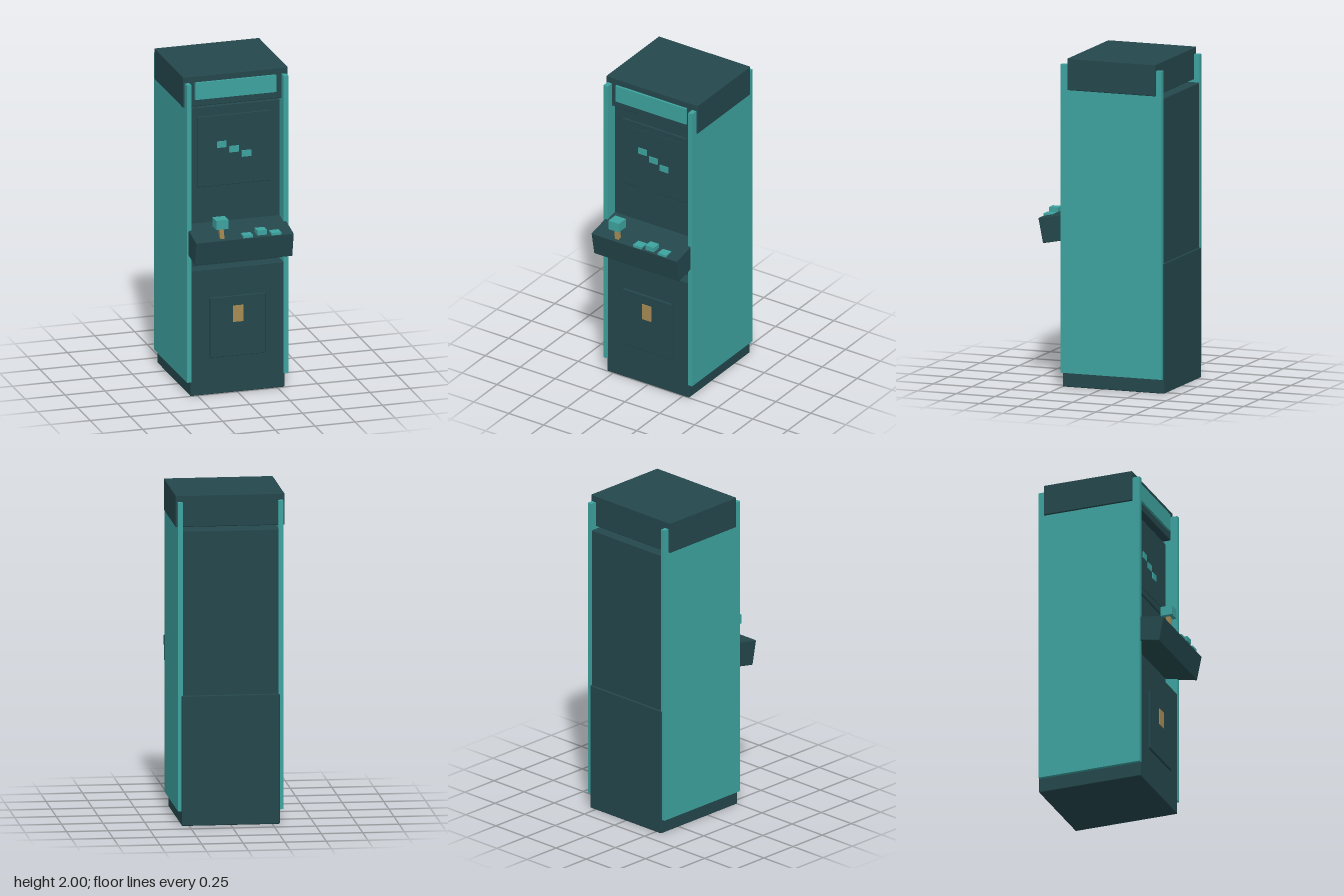
import * as THREE from 'three';
import { RoundedBoxGeometry } from 'three/addons/geometries/RoundedBoxGeometry.js';

export function createModel() {
  const model = new THREE.Group();
  model.name = 'arcadeCabinet';

  const mat = (name, color) => {
    const m = new THREE.MeshStandardMaterial({ color });
    m.name = name;
    return m;
  };
  const dark = mat('dark slate', 0x24474c);
  const teal = mat('teal', 0x3da39f);
  const gold = mat('brass', 0xa88b53);

  // Box given by its [min, max] extents; a bevel softens the edges.
  function box(name, material, [x0, x1], [y0, y1], [z0, z1], bevel = 0) {
    const size = [x1 - x0, y1 - y0, z1 - z0];
    const geometry = bevel
      ? new RoundedBoxGeometry(...size, 1, bevel)
      : new THREE.BoxGeometry(...size);
    const mesh = new THREE.Mesh(geometry, material);
    mesh.name = name;
    mesh.position.set((x0 + x1) / 2, (y0 + y1) / 2, (z0 + z1) / 2);
    model.add(mesh);
    return mesh;
  }

  // Cabinet body: base, recessed upper section and overhanging header
  box('lowerBody', dark, [-0.295, 0.295], [0, 0.79], [-0.405, 0.25], 0.006);
  box('upperBody', dark, [-0.292, 0.292], [0.78, 1.79], [-0.395, 0.175], 0.006);
  box('header', dark, [-0.328, 0.328], [1.807, 2], [-0.362, 0.207], 0.005);
  box('marquee', teal, [-0.254, 0.252], [1.853, 1.96], [0.2, 0.221]);

  // Side panels
  for (const s of [-1, 1]) {
    const xs = [s * 0.288, s * 0.317].sort((a, b) => a - b);
    box(s > 0 ? 'leftPanel' : 'rightPanel', teal, xs, [0.088, 1.96], [-0.398, 0.252]);
  }

  // Screen with its bezel and three small blocks on it
  box('bezel', dark, [-0.23, 0.23], [1.287, 1.73], [0.165, 0.184], 0.004);
  box('screen', dark, [-0.193, 0.193], [1.33, 1.69], [0.178, 0.187]);
  [[-0.079, 1.547], [-0.002, 1.511], [0.075, 1.476]].forEach(([x, y], i) =>
    box('screenBlock' + (i + 1), teal, [x - 0.03, x + 0.03], [y - 0.02, y + 0.02], [0.183, 0.192]));

  // Sloping control deck
  const deck = box('controlDeck', dark, [-0.306, 0.306], [0.8905, 1.0455], [0.09, 0.39], 0.005);
  deck.rotation.x = 0.195;

  // Joystick
  const stick = box('joystickStem', gold, [-0.152, -0.126], [1.005, 1.1], [0.357, 0.383]);
  stick.rotation.z = 0.1;
  box('joystickKnob', teal, [-0.181, -0.106], [1.086, 1.144], [0.33, 0.405]);

  // Buttons
  [[0.021, 1.0], [0.109, 1.024], [0.197, 1.0]].forEach(([x, y], i) =>
    box('button' + (i + 1), teal, [x - 0.03, x + 0.03], [y, y + 0.03], [0.34, 0.399]));

  // Coin door and slot
  box('coinDoor', dark, [-0.174, 0.174], [0.232, 0.61], [0.24, 0.263], 0.004);
  box('coinSlot', gold, [-0.033, 0.032], [0.448, 0.55], [0.259, 0.268]);

  return model;
}
